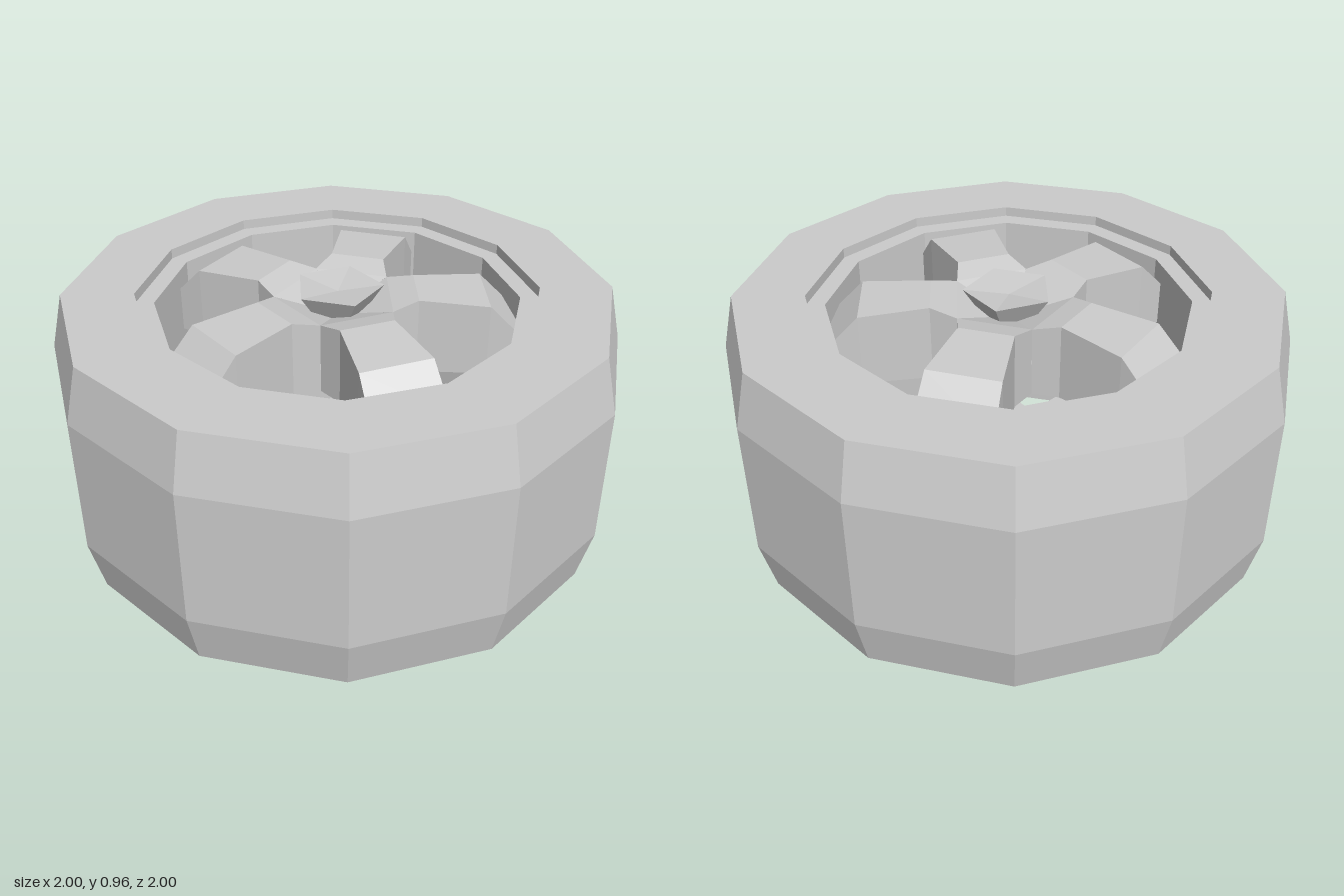
import * as THREE from 'three';

const material = new THREE.MeshStandardMaterial({ color: 0xcccccc, flatShading: true, side: THREE.DoubleSide });
const RAD = Math.PI / 180;
const FLAT = 1 / Math.cos(15 * RAD); // face distance to corner radius of a 12-sided ring

function add(parent, name, geometry) {
  const mesh = new THREE.Mesh(geometry, material);
  mesh.name = name;
  parent.add(mesh);
}

// Twelve-sided ring, profile given as [distance to flat, y]
function ring(profile) {
  const points = profile.map(([r, y]) => new THREE.Vector2(r * FLAT, y));
  points.push(points[0].clone());
  return new THREE.LatheGeometry(points, 12, 15 * RAD);
}

// One spoke: top stations [distance from axis, half width, y], with a flat back
function spokeGeometry(angle, side) {
  const stations = [[0, 0, 0.37], [0.186, 0.135, 0.445], [0.28, 0.1, 0.468], [0.53, 0.131, 0.452], [0.66, 0.138, 0.32]];
  const back = 0.18;
  const c = Math.cos(angle), s = Math.sin(angle);
  const positions = [];
  const point = (r, w, y) => [c * r - s * w, y * side, s * r + c * w];
  const quad = (a, b, d, e) => {
    const q = side > 0 ? [a, b, d, e] : [e, d, b, a];
    for (const i of [0, 1, 2, 0, 2, 3]) positions.push(...q[i]);
  };
  for (let i = 0; i + 1 < stations.length; i++) {
    const [r0, w0, y0] = stations[i], [r1, w1, y1] = stations[i + 1];
    const p0 = point(r0, w0, y0), p1 = point(r1, w1, y1);
    const n0 = point(r0, -w0, y0), n1 = point(r1, -w1, y1);
    const pb0 = point(r0, w0, back), pb1 = point(r1, w1, back);
    const nb0 = point(r0, -w0, back), nb1 = point(r1, -w1, back);
    quad(p0, p1, n1, n0);
    quad(nb0, nb1, pb1, pb0);
    if (i > 0) { // the inner wedge joins its neighbours, so it has no side walls
      quad(p0, pb0, pb1, p1);
      quad(n1, nb1, nb0, n0);
    }
  }
  const geometry = new THREE.BufferGeometry();
  geometry.setAttribute('position', new THREE.Float32BufferAttribute(positions, 3));
  geometry.computeVertexNormals();
  return geometry;
}

// Five-sided dished cap, tapering towards the hub
function capGeometry(side) {
  const points = [[0.1, 0.385], [0.165, 0.4825], [0, 0.462]].map(([r, y]) => new THREE.Vector2(r, y * side));
  if (side < 0) points.reverse();
  return new THREE.LatheGeometry(points, 5, 4 * RAD);
}

export function createModel() {
  const wheel = new THREE.Group();
  wheel.name = 'wheel';
  wheel.position.y = 0.4825;

  add(wheel, 'tyre', ring([[0.7, -0.4625], [0.953, -0.4625], [1, -0.2575], [1, 0.2575], [0.953, 0.4625], [0.7, 0.4625]]));
  add(wheel, 'rim', ring([[0.635, -0.425], [0.7, -0.425], [0.7, 0.425], [0.635, 0.425]]));

  // Matching spokes and cap on both faces
  for (const side of [1, -1]) {
    const face = new THREE.Group();
    face.name = side > 0 ? 'upperFace' : 'lowerFace';
    for (let i = 0; i < 5; i++) add(face, 'spoke', spokeGeometry((86 + 72 * i) * RAD, side));
    add(face, 'hubCap', capGeometry(side));
    wheel.add(face);
  }

  const model = new THREE.Group();
  model.add(wheel);
  return model;
}
